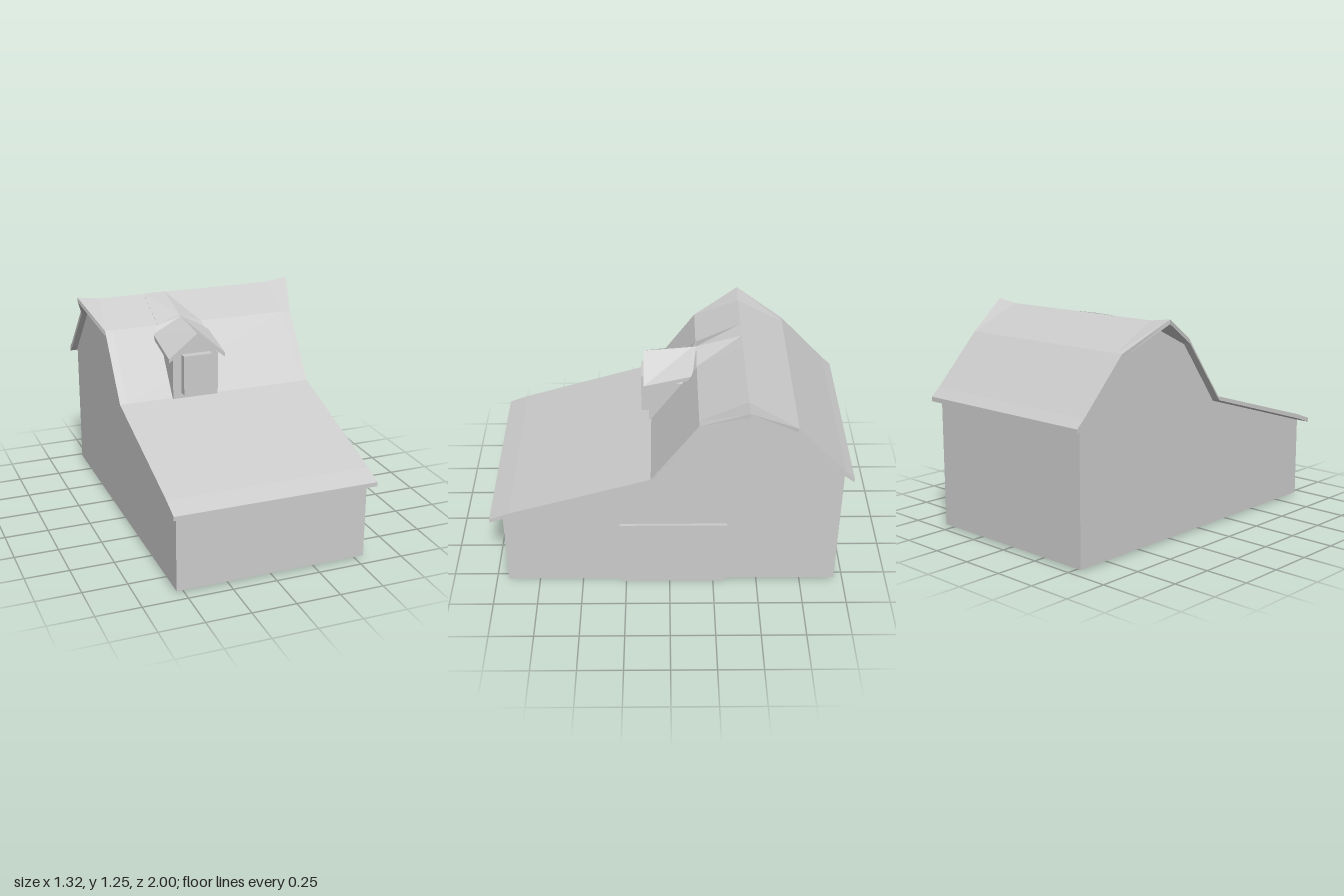
import * as THREE from 'three';

const material = new THREE.MeshStandardMaterial({ color: 0xcccccc, flatShading: true });

function addPart(group, name, geometry, x = 0, y = 0, z = 0) {
  const mesh = new THREE.Mesh(geometry, material);
  mesh.name = name;
  mesh.position.set(x, y, z);
  group.add(mesh);
}

// Solid skin through a row of sections; each section is an upper line followed
// by the matching lower line in reverse order.
function loft(sections) {
  const pos = [];
  const quad = (a, b, c, d) => pos.push(...a, ...b, ...c, ...a, ...c, ...d);
  const n = sections[0].length;
  for (let i = 0; i + 1 < sections.length; i++) {
    for (let j = 0; j < n; j++) {
      const k = (j + 1) % n;
      quad(sections[i][j], sections[i + 1][j], sections[i + 1][k], sections[i][k]);
    }
  }
  const first = sections[0], last = sections[sections.length - 1];
  for (let j = 0; j < n / 2 - 1; j++) {
    quad(first[j], first[j + 1], first[n - 2 - j], first[n - 1 - j]);
    quad(last[j], last[n - 1 - j], last[n - 2 - j], last[j + 1]);
  }
  const g = new THREE.BufferGeometry();
  g.setAttribute('position', new THREE.Float32BufferAttribute(pos, 3));
  g.computeVertexNormals();
  return g;
}

function extrude(points, depth) {
  const shape = new THREE.Shape(points.map(([x, y]) => new THREE.Vector2(x, y)));
  return new THREE.ExtrudeGeometry(shape, { depth, bevelEnabled: false });
}

export function createModel() {
  const model = new THREE.Group();
  model.name = 'barn';

  // Walls: side profile (z, y) pushed across the width
  const walls = extrude([
    [0.93, 0.01], [0.93, 0.475], [0.1, 0.725], [-0.155, 1.075], [-0.41, 1.2],
    [-0.67, 1.065], [-0.95, 0.765], [-0.95, 0.01],
  ], 1.09);
  walls.rotateY(-Math.PI / 2);
  addPart(model, 'walls', walls, 0.55);

  // Main roof: [z, y] lines for the upper and lower faces, ridge flared at the ends
  const upper = [[1, 0.48], [0.89, 0.521], [0.103, 0.755], [-0.155, 1.11], [-0.412, 1.23],
    [-0.68, 1.09], [-0.95, 0.803], [-1, 0.758]];
  const lower = [[1, 0.456], [0.89, 0.495], [0.113, 0.73], [-0.145, 1.08], [-0.412, 1.205],
    [-0.67, 1.07], [-0.94, 0.78], [-1, 0.732]];
  const ridge = 4;
  const roofSection = (side, end) => {
    const line = (pts) => pts.map(([z, y], i) => {
      const flare = end && i === ridge;
      return [side * (end ? (flare ? 0.662 : 0.575) : 0.53), y + (flare ? 0.018 : 0), z];
    });
    return [...line(upper), ...line(lower).reverse()];
  };
  addPart(model, 'mainRoof', loft([
    roofSection(-1, true), roofSection(-1, false), roofSection(1, false), roofSection(1, true),
  ]));

  // Sliding door on the left side
  addPart(model, 'sideDoor', new THREE.BoxGeometry(0.055, 0.42, 0.6), 0.5375, 0.21, -0.02);

  // Dormer
  const dormer = new THREE.Group();
  dormer.name = 'dormer';
  dormer.position.x = -0.129;
  model.add(dormer);
  addPart(dormer, 'dormerWalls', extrude([
    [-0.135, 0.752], [0.135, 0.752], [0.135, 1.0], [0, 1.11], [-0.135, 1.0],
  ], 0.315), 0, 0, -0.2);
  addPart(dormer, 'dormerWindow', new THREE.BoxGeometry(0.17, 0.23, 0.06), 0, 0.898, 0.13);

  // Dormer roof stations: [z, half width, eave y, peak y], fading into the main ridge
  const stations = [
    [0.145, 0.168, 1.002, 1.135], [-0.13, 0.168, 1.067, 1.158],
    [-0.155, 0.132, 1.112, 1.162], [-0.412, 0.132, 1.231, 1.233],
  ];
  addPart(dormer, 'dormerRoof', loft(stations.map(([z, w, eave, peak]) => [
    [w, eave, z], [0, peak, z], [-w, eave, z],
    [-w, eave - 0.024, z], [0, peak - 0.026, z], [w, eave - 0.024, z],
  ])));

  return model;
}
